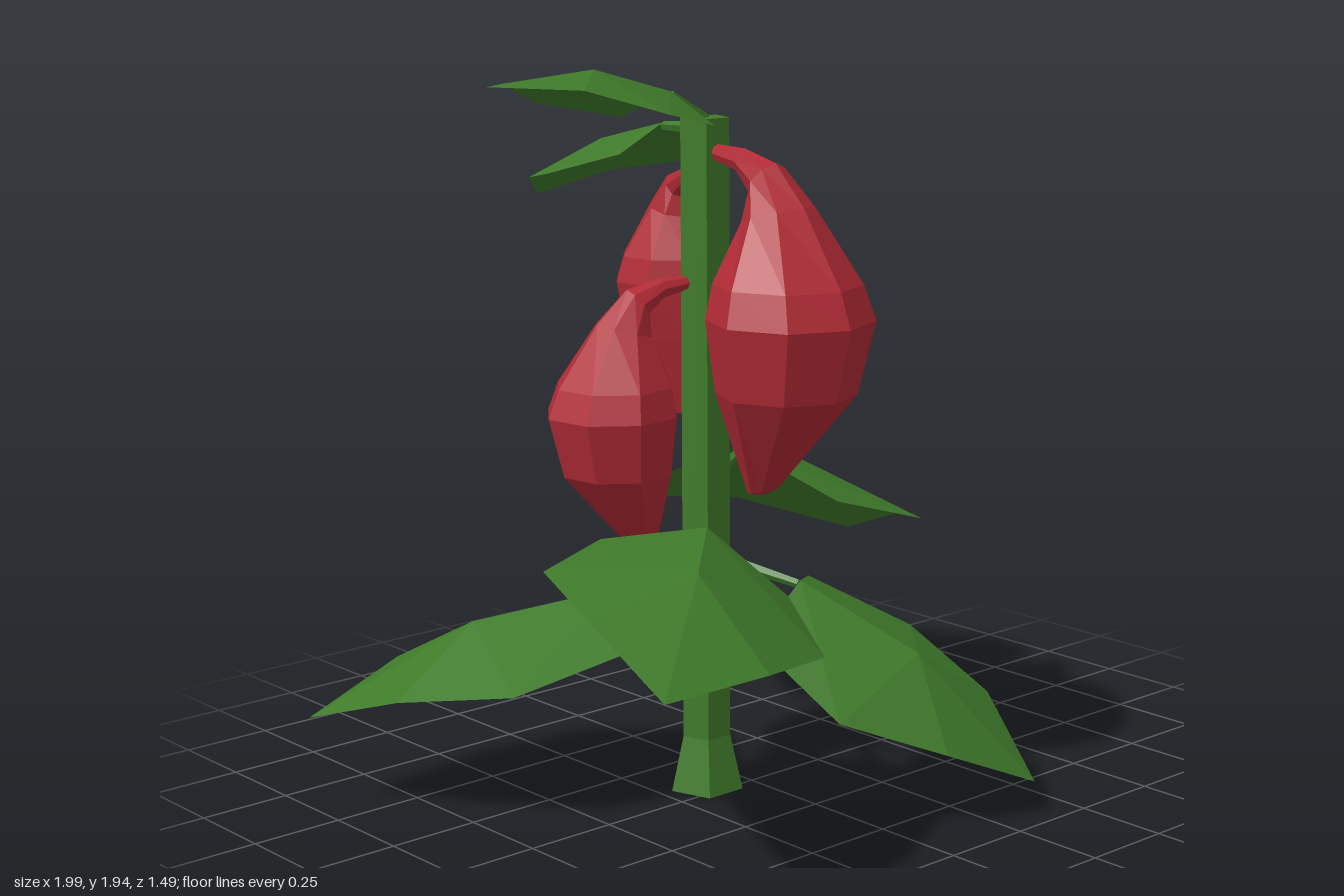
import * as THREE from 'three';

const green = new THREE.MeshStandardMaterial({ color: 0x3f7a2a, flatShading: true, side: THREE.DoubleSide });
const red = new THREE.MeshStandardMaterial({ color: 0xb02a35, flatShading: true });
const V = (a) => new THREE.Vector3(...a);
const AXIS = [-0.12, -0.05]; // x and z of the stem

function facetted(points, index, material, name) {
  const g = new THREE.BufferGeometry().setFromPoints(points);
  g.setIndex(index);
  const flat = g.toNonIndexed();
  flat.computeVertexNormals();
  const mesh = new THREE.Mesh(flat, material);
  mesh.name = name;
  return mesh;
}

// Leaf outline: share of the length, share of the half width, lift
const LEAF = [
  [0, 0.7, 0], [0, 0, 0.125], [0, -0.7, 0],
  [0.375, 1, 0], [0.45, 0, 0.15], [0.375, -1, 0],
  [0.714, 0.62, 0.04], [0.714, -0.62, 0.04], [1, 0, 0],
];
const LEAF_FACES = [
  0, 3, 1, 1, 3, 4, 1, 4, 5, 1, 5, 2,
  3, 6, 4, 4, 6, 8, 4, 8, 7, 4, 7, 5,
];

// Folded leaf with its stalk
function leaf(base, tip, half, stalkY) {
  const group = new THREE.Group();
  group.name = 'leaf';
  const b = V(base), along = V(tip).sub(b), side = V(half);
  const up = side.clone().cross(along).normalize();
  if (up.y < 0) { up.negate(); side.negate(); }
  up.multiplyScalar(along.length());
  const points = LEAF.map(([u, v, w]) => b.clone()
    .addScaledVector(along, u).addScaledVector(side, v).addScaledVector(up, w));
  group.add(facetted(points, LEAF_FACES, green, 'leafBlade'));

  const start = new THREE.Vector3(AXIS[0], stalkY, AXIS[1]);
  const end = points[1].clone().addScaledVector(up, -0.015);
  const dir = end.clone().sub(start);
  const stalk = new THREE.Mesh(new THREE.CylinderGeometry(0.012, 0.02, dir.length(), 5), green);
  stalk.position.copy(start).add(end).multiplyScalar(0.5);
  stalk.quaternion.setFromUnitVectors(new THREE.Vector3(0, 1, 0), dir.normalize());
  stalk.name = 'leafStalk';
  group.add(stalk);
  return group;
}

// Pepper rings: distance from the stem, height, radius, tilt in degrees
const PEPPER = [
  [0.03, 0, 0.02, 90], [0.15, -0.015, 0.032, 80], [0.235, -0.055, 0.055, 50],
  [0.28, -0.14, 0.095, 15], [0.315, -0.31, 0.19, 0], [0.325, -0.4, 0.215, 0],
  [0.31, -0.59, 0.18, 0], [0.22, -0.86, 0.037, 10], [0.215, -0.87, 0, 0],
];

// Hanging pepper with a hooked neck
function pepper(y, dx, dz, scale, heightScale = scale) {
  const sides = 8, points = [], index = [];
  PEPPER.forEach(([d, h, r, tilt], i) => {
    const a = THREE.MathUtils.degToRad(tilt);
    for (let j = 0; j < sides; j++) {
      const t = (j / sides) * Math.PI * 2, c = r * Math.cos(t);
      points.push(new THREE.Vector3(d + c * Math.cos(a), h + c * Math.sin(a), r * Math.sin(t)));
      if (i === PEPPER.length - 1) continue;
      const p = i * sides + j, q = i * sides + (j + 1) % sides;
      index.push(p, q, p + sides, q, q + sides, p + sides);
    }
  });
  const mesh = facetted(points, index, red, 'pepper');
  mesh.scale.set(scale, heightScale, scale);
  mesh.rotation.y = Math.atan2(-dz, dx);
  mesh.position.set(AXIS[0], y, AXIS[1]);
  return mesh;
}

export function createModel() {
  const plant = new THREE.Group();
  plant.name = 'pepperPlant';

  // Five-sided stem with a flared foot
  for (const [name, top, bottom, y0, y1] of [
    ['stemFoot', 0.066, 0.1, 0, 0.15],
    ['stem', 0.066, 0.066, 0.15, 1.8],
  ]) {
    const part = new THREE.Mesh(new THREE.CylinderGeometry(top, bottom, y1 - y0, 5), green);
    part.rotation.y = Math.PI; // one corner points back
    part.position.set(AXIS[0], (y0 + y1) / 2, AXIS[1]);
    part.name = name;
    plant.add(part);
  }

  // Leaves: base, tip, half-width vector, stalk height
  plant.add(
    leaf([0.11, 0.75, -0.19], [0.99, 0.42, -0.64], [0.2, 0, 0.37], 0.84),
    leaf([-0.29, 0.67, 0.1], [-0.94, 0.6, 0.74], [0.245, -0.105, 0.24], 0.7),
    leaf([-0.02, 0.52, 0.14], [0.37, 0.09, 0.69], [0.275, 0.045, -0.145], 0.65),
    leaf([-0.28, 0.45, -0.19], [-1, 0.25, -0.62], [-0.19, 0, 0.27], 0.52),
    leaf([-0.27, 1.8, -0.02], [-0.86, 1.92, 0.02], [0.02, 0, 0.235], 1.79),
    leaf([-0.12, 1.705, -0.19], [-0.12, 1.54, -0.75], [0.235, 0, 0], 1.77),
  );

  // Peppers
  plant.add(
    pepper(1.715, 0, 1, 1),
    pepper(1.65, 0.07, -0.205, 0.72, 0.75),
    pepper(1.38, -0.26, -0.07, 0.82),
  );
  return plant;
}
